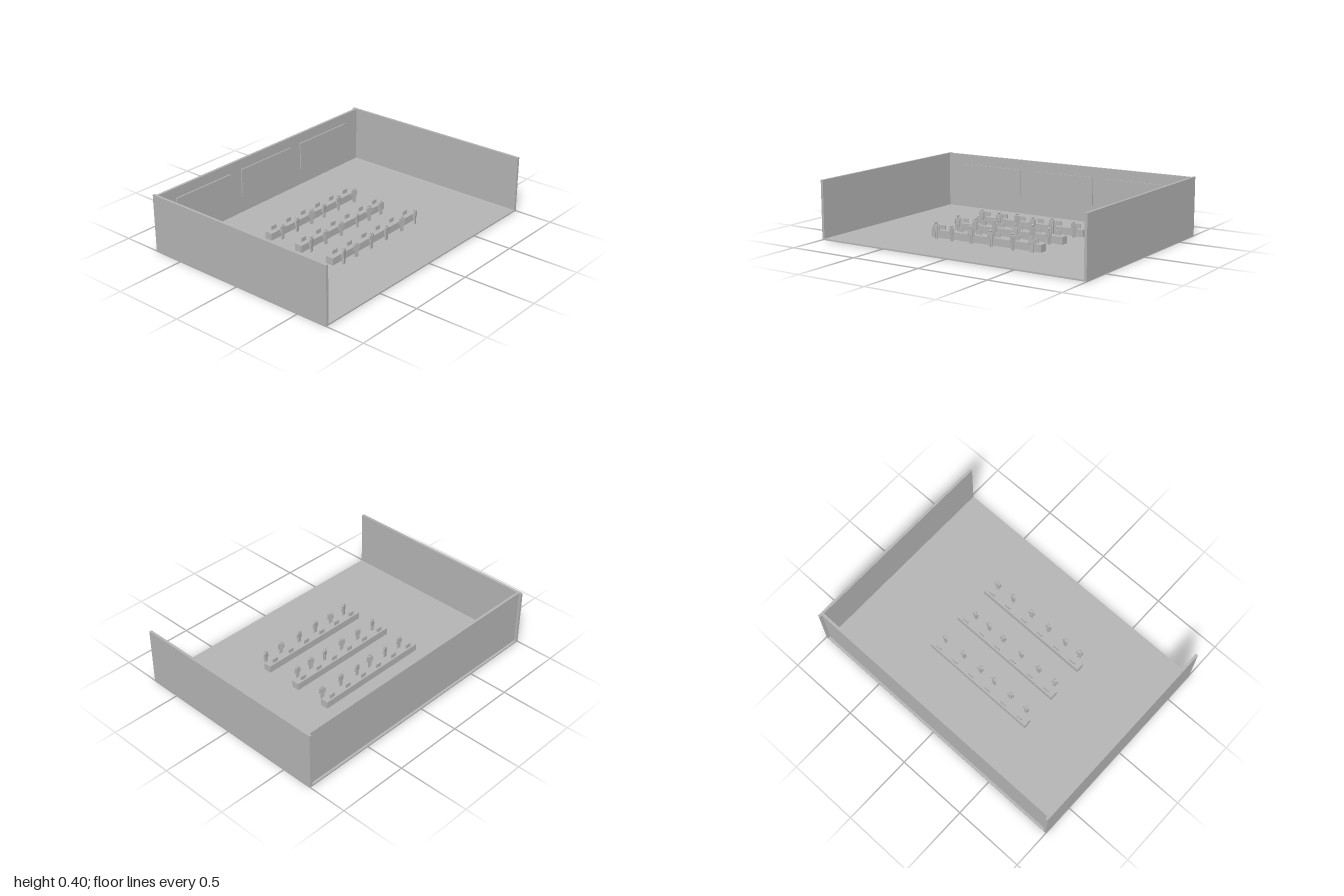
import * as THREE from 'three';

export function createModel() {
  const model = new THREE.Group();
  model.name = 'classroom';
  const grey = new THREE.MeshStandardMaterial({ color: 0xb4b4b4 });
  grey.name = 'plain grey';

  const add = (parent, name, geometry, x, y, z) => {
    const mesh = new THREE.Mesh(geometry, grey);
    mesh.name = name;
    mesh.position.set(x, y, z);
    parent.add(mesh);
    return mesh;
  };
  const box = (parent, name, w, h, d, x, y, z) =>
    add(parent, name, new THREE.BoxGeometry(w, h, d), x, y, z);

  // Room shell, open at the front and top
  const floorTop = 0.01;
  box(model, 'floor', 2, floorTop, 1.45, 0, floorTop / 2, 0);
  for (const s of [-1, 1]) {
    box(model, s > 0 ? 'leftWall' : 'rightWall', 0.018, 0.392, 1.45, s * 0.991, 0.206, 0);
  }
  box(model, 'backWall', 1.964, 0.392, 0.018, 0, 0.206, -0.699);

  // Three wall screens
  for (const x of [-0.595, 0, 0.595]) {
    box(model, 'wallScreen', 0.49, 0.2, 0.009, x, 0.23, -0.6855);
  }

  // Standing person, facing the screens
  const headShape = new THREE.SphereGeometry(0.0095, 12, 8);
  const person = (x, z, height, turn) => {
    const g = new THREE.Group();
    g.name = 'person';
    add(g, 'head', headShape, 0, 0.11, 0);
    box(g, 'torso', 0.026, 0.046, 0.016, 0, 0.076, 0);
    for (const s of [-1, 1]) {
      box(g, 'leg', 0.01, 0.054, 0.011, s * 0.006, 0.027, 0);
      const arm = box(g, 'arm', 0.008, 0.042, 0.009, s * 0.0185, 0.076, 0);
      arm.rotation.z = s * 0.1;
    }
    g.position.set(x, floorTop, z);
    g.rotation.y = Math.PI + turn;
    g.scale.y = height / 0.12;
    model.add(g);
  };

  // Rows of desks, each with six monitors and six people
  const rows = [
    { z: -0.27, people: [-0.36, -0.219, -0.072, 0.053, 0.206, 0.374] },
    { z: -0.006, people: [-0.377, -0.233, -0.078, 0.088, 0.216, 0.34] },
    { z: 0.258, people: [-0.366, -0.238, -0.088, 0.067, 0.235, 0.377] },
  ];
  const heights = [0.12, 0.11, 0.12, 0.113, 0.115, 0.11];
  rows.forEach(({ z, people }, r) => {
    box(model, 'desk', 0.854, 0.05, 0.056, -0.003, 0.035, z);
    for (let i = 0; i < 6; i++) {
      box(model, 'monitor', 0.043, 0.028, 0.007, -0.366 + i * 0.1455, 0.074, z - 0.011);
      person(people[i], z + 0.064, heights[(i + r * 4 + 4) % 6], 0.3 * Math.sin(i * 2.3 + r));
    }
  });

  return model;
}
